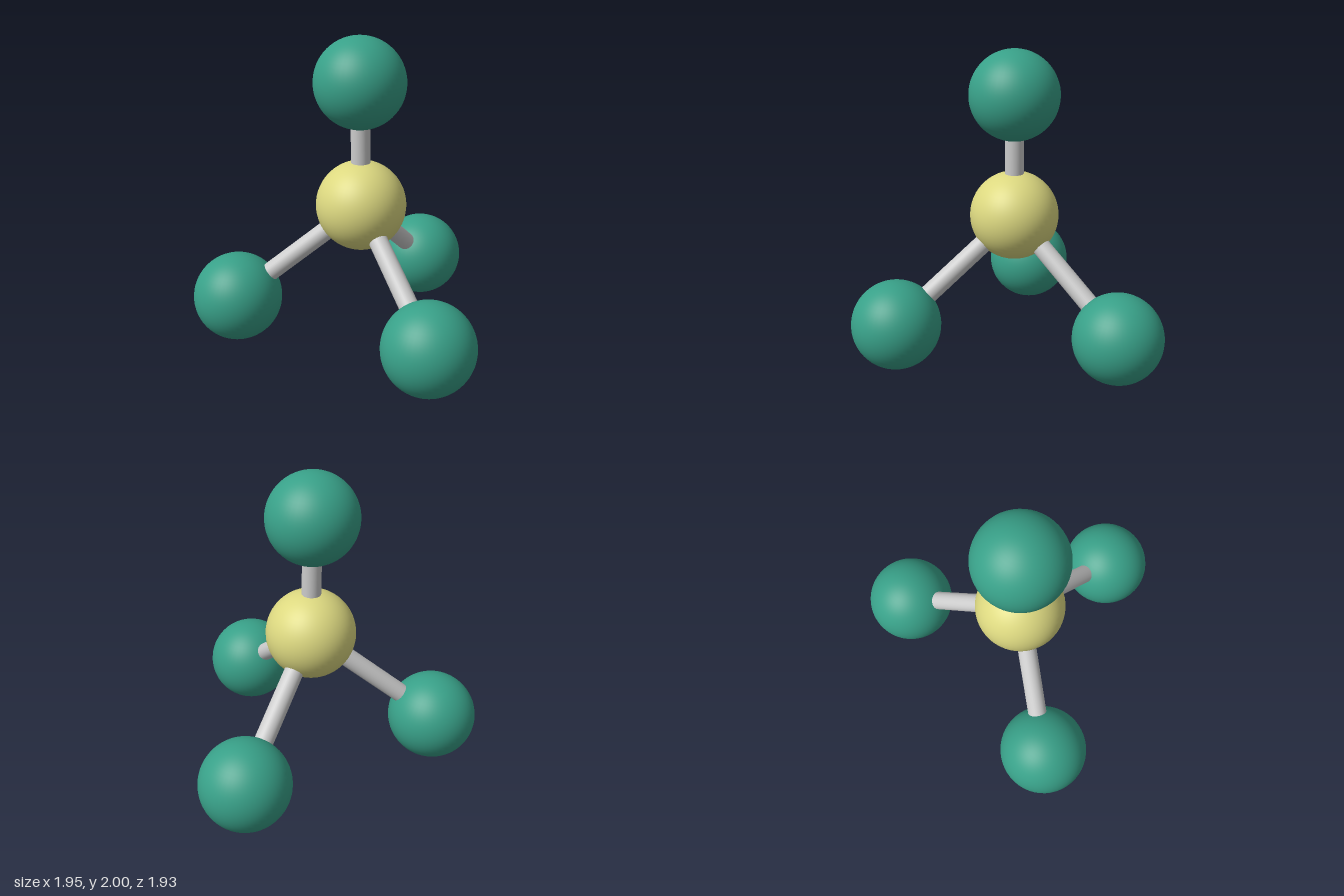
import * as THREE from 'three';

export function createModel() {
  const model = new THREE.Group();
  const green = new THREE.MeshStandardMaterial({ color: 0x38a088 });
  const yellow = new THREE.MeshStandardMaterial({ color: 0xdcd880 });
  const grey = new THREE.MeshStandardMaterial({ color: 0xcccccc });

  const ball = new THREE.SphereGeometry(0.2875, 48, 32);
  const centre = new THREE.Vector3(-0.1, 0.926, -0.11);
  const up = new THREE.Vector3(0, 1, 0);

  function addBall(name, position, material) {
    const mesh = new THREE.Mesh(ball, material);
    mesh.name = name;
    mesh.position.copy(position);
    model.add(mesh);
  }

  // Rod running from the central ball to an outer ball
  function addRod(name, end) {
    const direction = end.clone().sub(centre);
    const rod = new THREE.Mesh(new THREE.CylinderGeometry(0.061, 0.061, direction.length(), 32), grey);
    rod.name = name;
    rod.position.copy(centre).add(end).multiplyScalar(0.5);
    rod.quaternion.setFromUnitVectors(up, direction.normalize());
    model.add(rod);
  }

  addBall('centralBall', centre, yellow);

  // One outer ball on top, three spread evenly below
  const outer = { top: centre.clone().setY(1.7125) };
  ['left', 'front', 'back'].forEach((side, i) => {
    const angle = THREE.MathUtils.degToRad(-16 + i * 120);
    outer[side] = new THREE.Vector3(
      centre.x + 0.816 * Math.cos(angle), 0.2875, centre.z + 0.816 * Math.sin(angle));
  });
  for (const [side, position] of Object.entries(outer)) {
    addBall(side + 'Ball', position, green);
    addRod(side + 'Rod', position);
  }
  return model;
}
